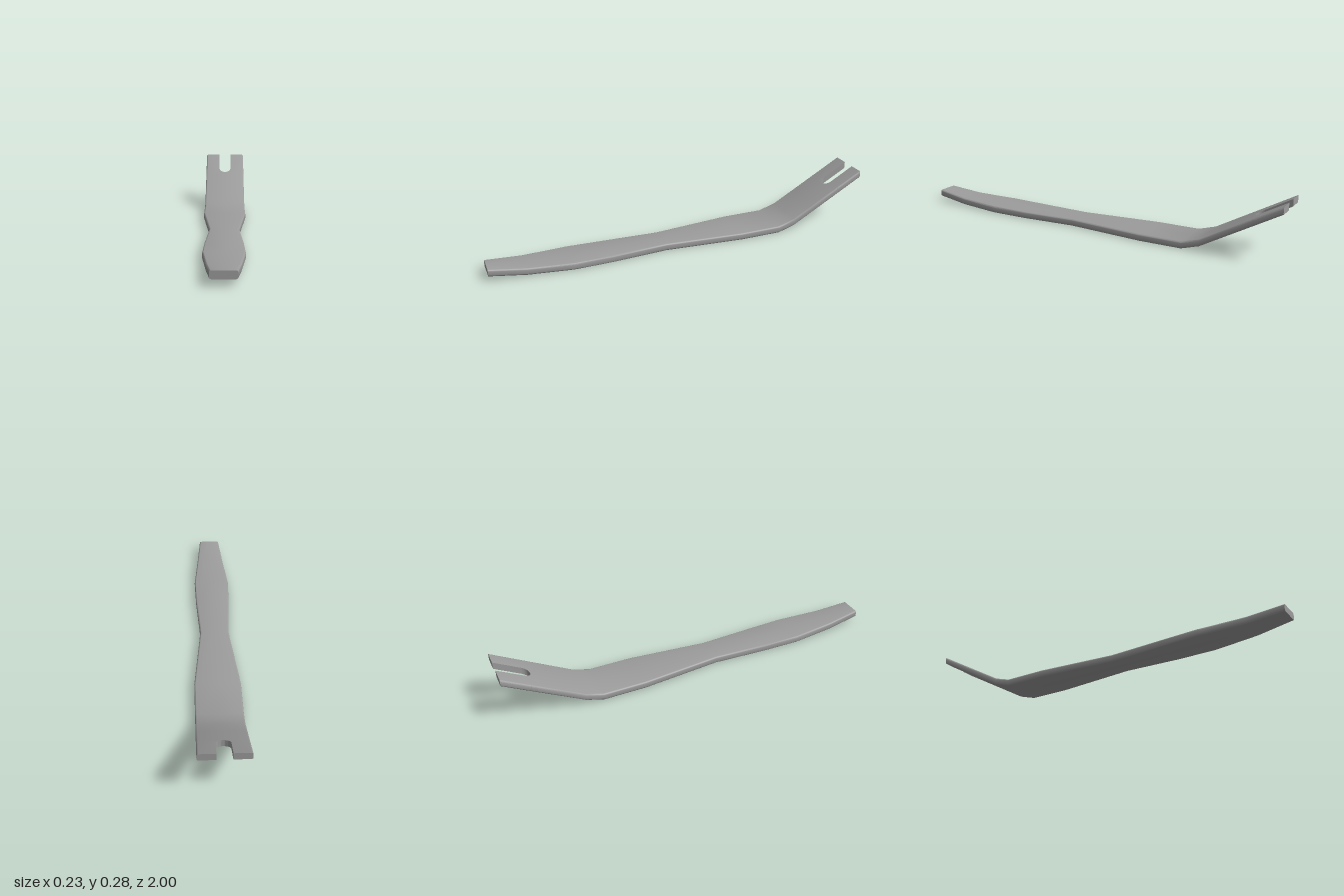
import * as THREE from 'three';
import { toCreasedNormals } from 'three/addons/utils/BufferGeometryUtils.js';

// Piecewise-linear lookup in [z, value] pairs, z descending
function lookup(table, z) {
  for (let i = 1; i < table.length; i++) {
    const [z0, v0] = table[i - 1], [z1, v1] = table[i];
    if (z >= z1) return v0 + (v1 - v0) * (z0 - z) / (z0 - z1);
  }
  return table[table.length - 1][1];
}

// Half width of the bar and height of its underside along its length
const WIDTH = [[1, 0.057], [0.59, 0.097], [0.4, 0.092], [0.11, 0.076], [-0.3, 0.115], [-1, 0.115]];
const BASE = [[1, 0.031], [0.82, 0.01], [0.62, 0.003], [0.4, 0], [-0.52, 0], [-0.61, 0.027], [-1, 0.243]];
const THICK = 0.036, ROUND = 0.008;
const SLOT_R = 0.034, SLOT_END = -0.84;

// Half of a cross-section, from the inner top corner round the outer edge to the inner bottom
function section(z, inner) {
  const w = lookup(WIDTH, z), y0 = lookup(BASE, z), y1 = y0 + THICK;
  const ring = [[inner, y1, z]];
  for (let i = 0; i <= 3; i++) {
    const a = i * Math.PI / 6;
    ring.push([w - ROUND + ROUND * Math.sin(a), y1 - ROUND + ROUND * Math.cos(a), z]);
  }
  for (let i = 0; i <= 3; i++) {
    const a = i * Math.PI / 6;
    ring.push([w - ROUND + ROUND * Math.cos(a), y0 + ROUND - ROUND * Math.sin(a), z]);
  }
  ring.push([inner, y0, z]);
  return ring;
}

function barGeometry() {
  const stops = [1, 0.82, 0.62, 0.59, 0.4, 0.11, -0.3, -0.52, -0.565, -0.61, -0.72].map(z => ({ z, inner: 0 }));
  // Rounded end of the slot, then its straight sides
  for (let i = 0; i <= 10; i++) {
    const a = i * Math.PI / 20;
    stops.push({ z: SLOT_END - SLOT_R * (1 - Math.cos(a)), inner: SLOT_R * Math.sin(a) });
  }
  stops.push({ z: -1, inner: SLOT_R });
  const rings = stops.map(s => section(s.z, s.inner));

  const pos = [];
  for (const side of [1, -1]) {
    const tri = (a, b, c) => {
      for (const p of side > 0 ? [a, b, c] : [a, c, b]) pos.push(p[0] * side, p[1], p[2]);
    };
    for (let s = 0; s + 1 < rings.length; s++) {
      const cur = rings[s], next = rings[s + 1], n = cur.length;
      const faces = stops[s + 1].inner > 0 ? n : n - 1; // last face is the slot wall
      for (let i = 0; i < faces; i++) {
        const j = (i + 1) % n;
        tri(cur[i], cur[j], next[j]);
        tri(cur[i], next[j], next[i]);
      }
    }
    // Flat ends
    const front = rings[0], back = rings[rings.length - 1];
    for (let i = 1; i + 1 < front.length; i++) {
      tri(front[0], front[i + 1], front[i]);
      tri(back[0], back[i], back[i + 1]);
    }
  }
  const geo = new THREE.BufferGeometry();
  geo.setAttribute('position', new THREE.Float32BufferAttribute(pos, 3));
  return toCreasedNormals(geo, 0.6);
}

export function createModel() {
  const steel = new THREE.MeshStandardMaterial({ color: 0x9c9c9c });
  steel.name = 'steel';
  const group = new THREE.Group();
  group.name = 'pryBar';
  const bar = new THREE.Mesh(barGeometry(), steel);
  bar.name = 'forkedBar';
  group.add(bar);
  return group;
}
